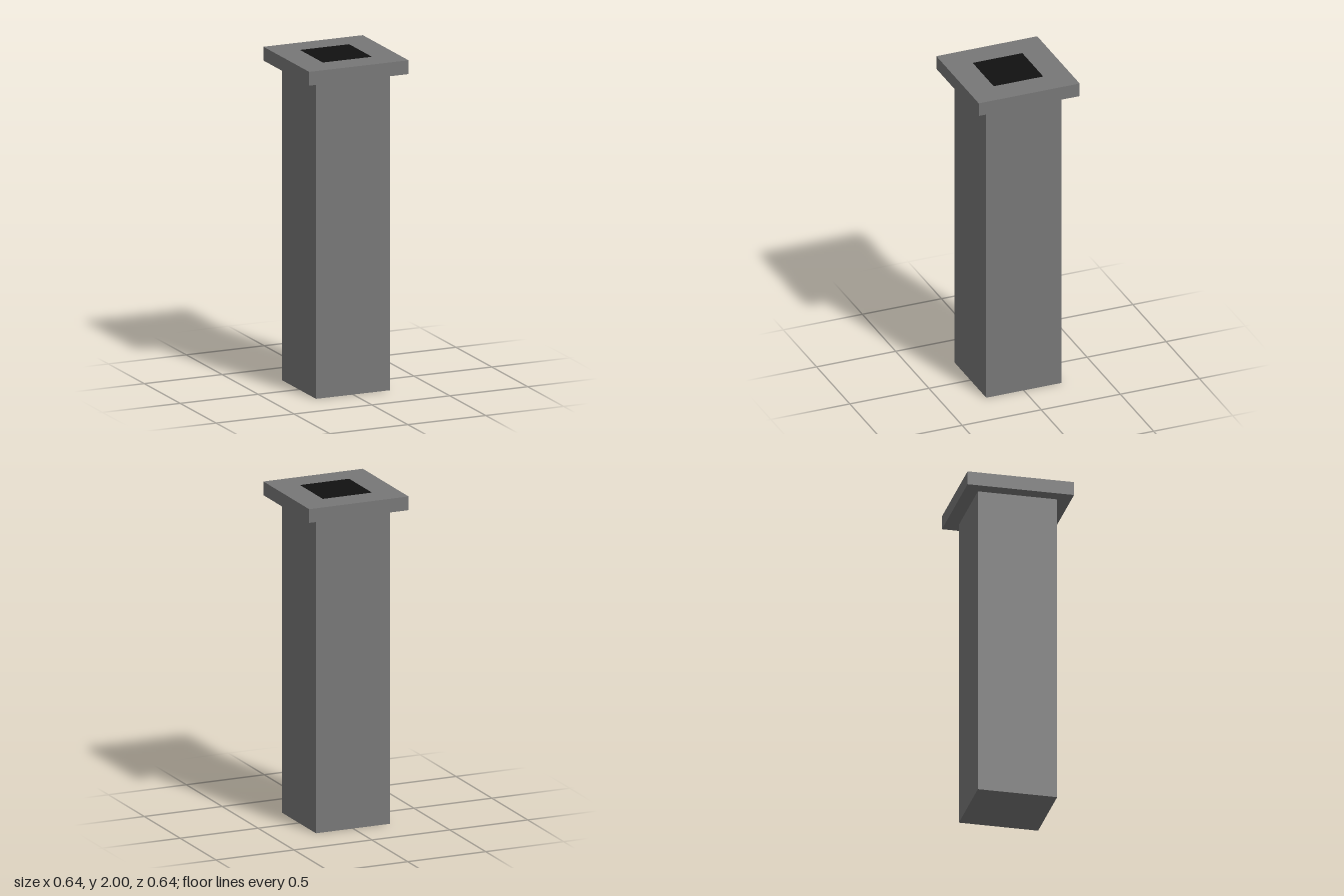
import * as THREE from 'three';

const stone = new THREE.MeshStandardMaterial({ color: 0x777777, flatShading: true });
const soot = new THREE.MeshStandardMaterial({ color: 0x111111, flatShading: true });

// Square block between two heights
function block(name, width, bottom, top, material) {
  const mesh = new THREE.Mesh(new THREE.BoxGeometry(width, top - bottom, width), material);
  mesh.position.y = (bottom + top) / 2;
  mesh.name = name;
  return mesh;
}

export function createModel() {
  const model = new THREE.Group();
  model.name = 'chimney';
  model.add(
    block('shaft', 0.475, 0, 1.915, stone),
    block('cap', 0.638, 1.915, 1.998, stone),
    // Dark flue opening, a hair proud of the cap
    block('flueOpening', 0.312, 1.95, 2, soot)
  );
  return model;
}
